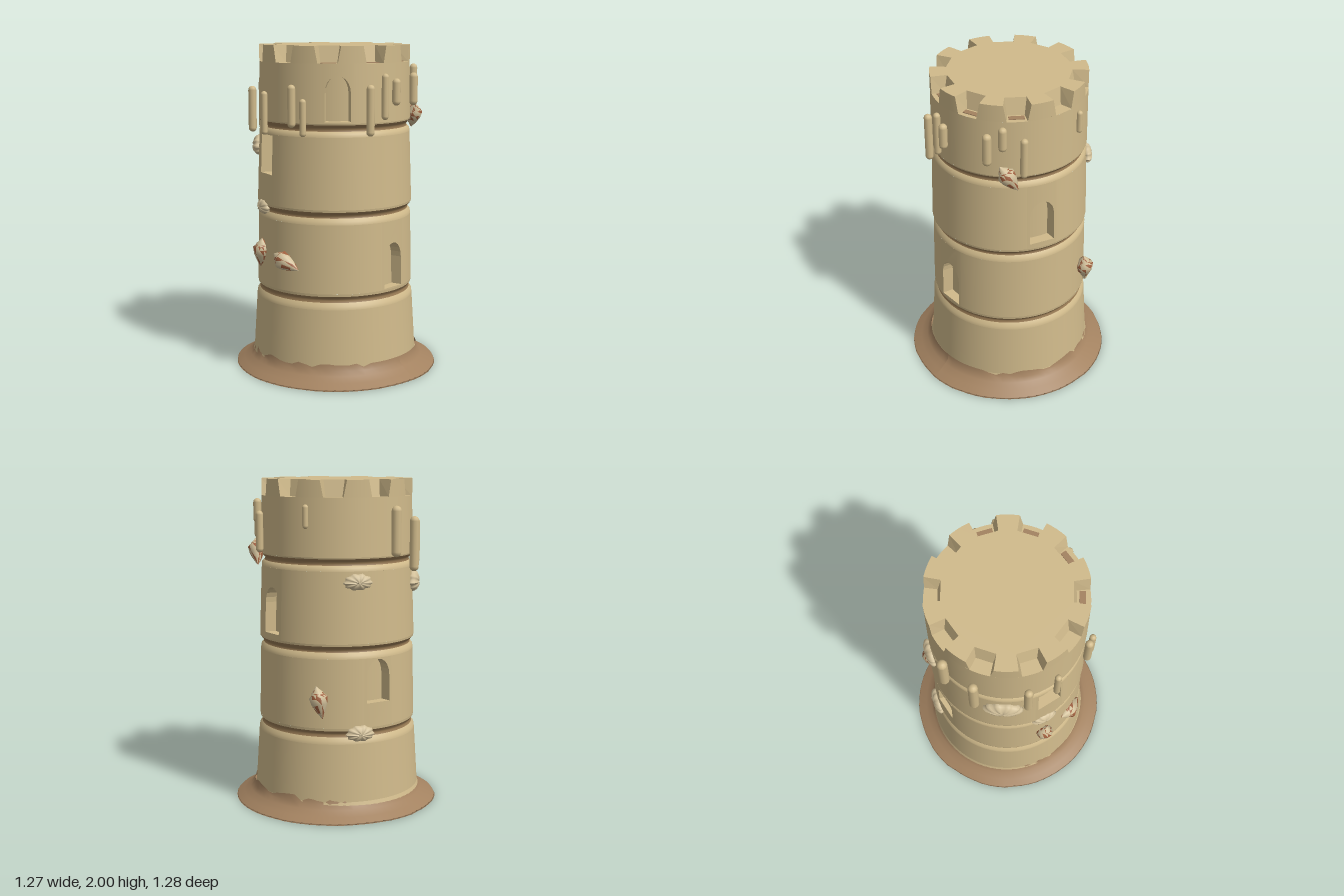
import * as THREE from 'three';

const mat = (name, color, side = THREE.FrontSide) => {
  const m = new THREE.MeshStandardMaterial({ color, side });
  m.name = name;
  return m;
};
const hash = (n) => { const s = Math.sin(n * 127.1 + 3.7) * 43758.5453; return s - Math.floor(s); };

export function createModel() {
  const sand = mat('dry sand', 0xd0ba8b);
  const wet = mat('wet sand', 0xa38260, THREE.DoubleSide);
  const groove = mat('groove sand', 0x9a7c55);
  const cream = mat('shell cream', 0xd2c09a);
  const rust = mat('shell spots', 0xa0603f);

  const model = new THREE.Group();
  const tower = new THREE.Group();
  tower.name = 'tower';
  tower.position.z = -0.01;
  model.add(tower);

  const add = (parent, name, geo, material) => {
    const m = new THREE.Mesh(geo, material);
    m.name = name;
    parent.add(m);
    return m;
  };
  const lathe = (pts, start = 0, length = Math.PI * 2) =>
    new THREE.LatheGeometry(pts.map((p) => new THREE.Vector2(...p)), Math.max(3, Math.round(length * 11)), start, length);

  // Wraps a flat panel around the tower, turning its normals too
  const bend = (geo, phi0, radius) => {
    const p = geo.attributes.position, n = geo.attributes.normal;
    for (let i = 0; i < p.count; i++) {
      const phi = phi0 + p.getX(i) / 0.47, r = radius(p.getY(i)) + p.getZ(i);
      const s = Math.sin(phi), c = Math.cos(phi), nx = n.getX(i), nz = n.getZ(i);
      p.setXYZ(i, r * s, p.getY(i), r * c);
      n.setXYZ(i, nx * c + nz * s, n.getY(i), nz * c - nx * s);
    }
    return geo;
  };

  // Wall of one storey, with recessed windows let into it
  const W = 0.095, H = 0.078, DEPTH = 0.07;
  const storey = (name, y0, r0, y1, r1, windows) => {
    const radius = (y) => r0 + ((r1 - r0) * (y - y0)) / (y1 - y0);
    const half = W / 0.47;
    if (!windows.length) add(tower, name, lathe([[r0, y0], [r1, y1]]), sand);
    const sorted = [...windows].sort((a, b) => a.phi - b.phi);
    sorted.forEach((w, i) => {
      const next = i + 1 < sorted.length ? sorted[i + 1].phi : sorted[0].phi + Math.PI * 2;
      add(tower, name, lathe([[r0, y0], [r1, y1]], w.phi + half, next - w.phi - 2 * half), sand);
      const outline = [], hole = [];
      for (let k = 0; k <= 8; k++) outline.push(new THREE.Vector2(-W + (k * W) / 4, y0));
      for (let k = 8; k >= 0; k--) outline.push(new THREE.Vector2(-W + (k * W) / 4, y1));
      hole.push(new THREE.Vector2(-H, w.bottom), new THREE.Vector2(H, w.bottom));
      if (w.square) hole.push(new THREE.Vector2(H, w.top), new THREE.Vector2(-H, w.top));
      else for (let k = 0; k <= 10; k++) {
        const a = (k / 10) * Math.PI;
        hole.push(new THREE.Vector2(H * Math.cos(a), w.top - 0.1 + 0.1 * Math.sin(a)));
      }
      const shape = new THREE.Shape(outline);
      shape.holes.push(new THREE.Path(hole));
      const panel = new THREE.ExtrudeGeometry(shape, { depth: DEPTH, bevelEnabled: false });
      add(tower, 'windowSurround', bend(panel.translate(0, 0, -DEPTH), w.phi, radius), sand);
      const back = new THREE.PlaneGeometry(2 * W, y1 - y0, 6, 1).translate(0, (y0 + y1) / 2, -DEPTH + 0.002);
      add(tower, 'windowRecess', bend(back, w.phi, radius), sand);
    });
  };
  storey('firstStorey', 0.1, 0.512, 0.45, 0.49, []);
  storey('secondStorey', 0.545, 0.484, 0.96, 0.475, [
    { phi: -0.02, bottom: 0.552, top: 0.825 },
    { phi: Math.atan2(0.16, -0.44), bottom: 0.69, top: 0.952 }]);
  storey('thirdStorey', 1.05, 0.48, 1.475, 0.465, [
    { phi: Math.atan2(0.45, 0.14), bottom: 1.08, top: 1.36 },
    { phi: Math.atan2(-0.42, -0.16), bottom: 1.23, top: 1.467, square: true }]);
  storey('fourthStorey', 1.555, 0.466, 1.9, 0.461, [
    { phi: Math.atan2(-0.34, 0.32), bottom: 1.565, top: 1.83 }]);

  // Rounded storey edges and the grooves between them
  [[0.45, 0.49, 0.545, 0.484], [0.96, 0.475, 1.05, 0.48], [1.475, 0.465, 1.555, 0.466]].forEach(([ya, ra, yb, rb]) => {
    const m = (ya + yb) / 2 + 0.005;
    add(tower, 'storeyRim', lathe([[ra, ya], [ra - 0.003, ya + 0.02], [ra - 0.018, m - 0.012]]), sand);
    add(tower, 'groove', lathe([[ra - 0.018, m - 0.012], [ra - 0.024, m], [rb - 0.014, m + 0.012], [rb - 0.002, m + 0.027]]), groove);
    add(tower, 'storeyFoot', lathe([[rb - 0.002, m + 0.027], [rb, yb]]), sand);
  });

  // Solid battlement top with ten notches that narrow downwards
  const R = 0.461, N = 10, STEP = (Math.PI * 2) / N, HALF = 0.17, outline = [];
  for (let i = 0; i < N; i++) {
    const a = i * STEP;
    const put = (r, t) => outline.push(new THREE.Vector2(r * Math.cos(t), r * Math.sin(t)));
    put(R, a - HALF); put(0.365, a - HALF); put(0.365, a + HALF);
    for (let k = 0; k < 6; k++) put(R, a + HALF + (k / 6) * (STEP - 2 * HALF));
  }
  const crown = new THREE.ExtrudeGeometry(new THREE.Shape(outline), { depth: 0.1, bevelEnabled: false });
  crown.rotateX(-Math.PI / 2).translate(0, 1.9, 0);
  const cp = crown.attributes.position;
  for (let i = 0; i < cp.count; i++) {
    if (cp.getY(i) > 1.95) continue;
    const x = cp.getX(i), z = cp.getZ(i), t = Math.atan2(z, x), c = Math.round(t / STEP) * STEP;
    if (Math.abs(t - c) > HALF + 0.01) continue;
    const r = Math.hypot(x, z), a = c + (t - c) * 0.75, rr = r < 0.4 ? r + 0.02 : r;
    cp.setXYZ(i, rr * Math.cos(a), 1.9, rr * Math.sin(a));
  }
  crown.computeVertexNormals();
  const cn = crown.attributes.normal;
  for (let i = 0; i < cp.count; i++) {
    const x = cp.getX(i), z = cp.getZ(i), r = Math.hypot(x, z);
    if (r > 0.45 && (cn.getX(i) * x + cn.getZ(i) * z) / r > 0.9) cn.setXYZ(i, x / r, 0, z / r);
  }
  add(tower, 'battlements', crown, sand);
  add(tower, 'notchFloor', lathe([[R, 1.9], [0, 1.9]]), sand);
  for (const i of [1, 2, 3, 4]) {
    const strip = add(tower, 'dampNotchFloor', new THREE.BoxGeometry(0.035, 0.006, 0.09), wet);
    strip.position.set(0.415 * Math.cos(i * STEP), 1.901, 0.415 * Math.sin(i * STEP));
    strip.rotation.y = -i * STEP;
  }

  // Flared wet base with an uneven rim and a ragged tide line
  const base = new THREE.LatheGeometry([[0, 0], [0.64, 0], [0.635, 0.008], [0.585, 0.03], [0.545, 0.06], [0.522, 0.085], [0.515, 0.12]]
    .map((p) => new THREE.Vector2(...p)), 72);
  const bp = base.attributes.position;
  for (let i = 0; i < bp.count; i++) {
    const col = Math.floor(i / 7) % 72, row = i % 7;
    if (row === 6) {
      const ragged = Math.abs(Math.sin((col / 72) * Math.PI * 2)) > 0.5;
      if (ragged) bp.setY(i, 0.095 + 0.035 * hash(col));
    } else if (row === 1 || row === 2) {
      const k = 1 - 0.018 * hash(Math.floor(col / 4));
      bp.setXYZ(i, bp.getX(i) * k, bp.getY(i), bp.getZ(i) * k);
    }
  }
  base.computeVertexNormals();
  add(model, 'wetBase', base, wet);
  add(tower, 'baseCore', lathe([[0.525, 0.06], [0.512, 0.1]]), sand);

  // Sand drips under the battlements: x, z, bottom, top, radius
  [[-0.01, 0.48, 1.65, 1.81, 0.026], [-0.2, 0.44, 1.48, 1.78, 0.025], [-0.09, 0.46, 1.57, 1.84, 0.022],
    [0.27, 0.395, 1.63, 1.83, 0.027], [0.34, 0.34, 1.73, 1.88, 0.025], [0.42, 0.25, 1.56, 1.81, 0.023],
    [0.455, -0.14, 1.72, 1.86, 0.018], [0.07, -0.51, 1.55, 1.85, 0.031], [-0.13, -0.5, 1.45, 1.78, 0.029],
    [-0.39, -0.335, 1.47, 1.75, 0.025], [-0.465, -0.16, 1.47, 1.73, 0.02], [-0.495, 0.09, 1.53, 1.78, 0.024],
    [-0.475, 0.16, 1.48, 1.7, 0.02]].forEach(([x, z, y0, y1, r]) => {
    const drip = add(model, 'sandDrip', new THREE.CapsuleGeometry(r, y1 - y0 - 2 * r, 4, 10), sand);
    drip.position.set(x, (y0 + y1) / 2, z);
  });

  // Spotted spiral shells: facets alternate between two materials
  const spiral = new THREE.LatheGeometry([[0.002, -0.1], [0.025, -0.06], [0.048, -0.01], [0.056, 0.03], [0.036, 0.05], [0.034, 0.06], [0.016, 0.08], [0, 0.1]]
    .map((p) => new THREE.Vector2(...p)), 12).toNonIndexed();
  for (let t = 0; t < spiral.attributes.position.count / 3; t++) spiral.addGroup(t * 3, 3, hash(t) < 0.28 ? 1 : 0);
  const place = (m, x, y, z, tilt, s) => {
    m.position.set(x, y, z);
    m.rotation.set(0, Math.atan2(x, z), tilt, 'YXZ');
    m.scale.setScalar(s);
  };
  [[0.37, 1.56, 0.32, 0.6, 0.95], [0.455, 0.71, -0.24, 0.2, 1], [-0.445, 0.74, -0.22, -0.2, 0.95], [-0.48, 0.72, 0.02, 1.2, 1.05]]
    .forEach((s) => place(add(model, 'spiralShell', spiral, [cream, rust]), ...s));

  // Ribbed fan shells: flattened domes with a scalloped lower edge
  const fan = new THREE.SphereGeometry(1, 40, 10).rotateX(Math.PI / 2);
  const fp = fan.attributes.position;
  for (let i = 0; i < fp.count; i++) {
    const x = fp.getX(i), y = fp.getY(i), k = 1 + 0.07 * Math.cos(Math.atan2(y, x) * 10);
    fp.setXYZ(i, x * k * 0.09, y * k * (y > 0 ? 0.055 : 0.045), fp.getZ(i) * 0.035 * k);
  }
  fan.computeVertexNormals();
  [[0.28, 1.41, -0.39, 0, 0.95], [0.28, 0.51, -0.41, 0, 0.95], [-0.26, 1.37, -0.4, 0, 1.25], [-0.43, 1.02, -0.21, 0, 0.85]]
    .forEach((s) => place(add(model, 'fanShell', fan, cream), ...s));

  return model;
}
